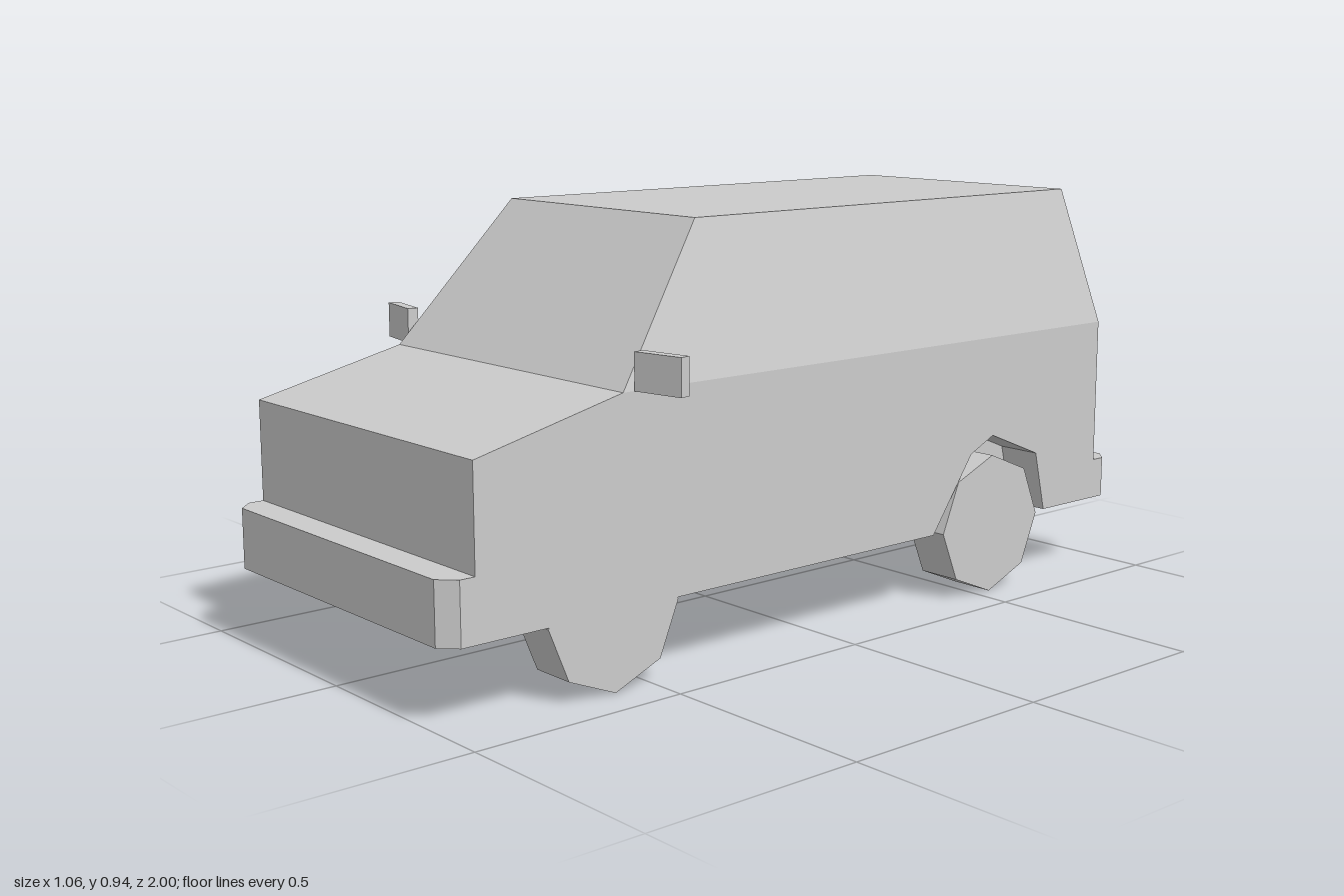
import * as THREE from 'three';

const HALF = 0.41;       // half width of the body
const WHEEL_WIDTH = 0.107;
const grey = new THREE.MeshStandardMaterial({ color: 0xcccccc, flatShading: true });

function add(parent, name, geometry, x = 0, y = 0, z = 0) {
  const mesh = new THREE.Mesh(geometry, grey);
  mesh.name = name;
  mesh.position.set(x, y, z);
  parent.add(mesh);
  return mesh;
}

const shapeOf = (points) => new THREE.Shape(points.map(([a, b]) => new THREE.Vector2(a, b)));

// Side profile of [z, y] points, extruded across x and centred
function acrossWidth(points, width) {
  return new THREE.ExtrudeGeometry(shapeOf(points), { depth: width, bevelEnabled: false })
    .rotateY(-Math.PI / 2)
    .translate(width / 2, 0, 0);
}

// Bumper bar with chamfered outer corners; dir is 1 for front, -1 for rear
function bumper(height, dir) {
  const plan = [[-HALF, 0.92], [HALF, 0.92], [HALF, 0.965], [0.375, 1], [-0.375, 1], [-HALF, 0.965]];
  return new THREE.ExtrudeGeometry(shapeOf(plan.map(([x, z]) => [x, z * dir])), { depth: height, bevelEnabled: false })
    .rotateX(Math.PI / 2);
}

// Tapered cabin: a box whose top corners are drawn inwards
function cabinGeometry() {
  const geometry = new THREE.BoxGeometry(1, 1, 1);
  const p = geometry.attributes.position;
  for (let i = 0; i < p.count; i++) {
    const top = p.getY(i) > 0, front = p.getZ(i) > 0;
    const z = front ? (top ? 0.31 : 0.57) : (top ? -0.875 : -0.93);
    p.setXYZ(i, Math.sign(p.getX(i)) * (top ? 0.325 : HALF), top ? 0.94 : 0.615, z);
  }
  geometry.computeVertexNormals();
  return geometry;
}

export function createModel() {
  const van = new THREE.Group();
  van.name = 'van';

  // Lower body: a core between the wheels and outer panels with rear wheel arches
  const profile = [[0.93, 0.17], [0.93, 0.53], [0.57, 0.615], [-0.93, 0.615], [-0.93, 0.17]];
  const rearArch = [[-0.74, 0.17], [-0.705, 0.315], [-0.545, 0.38], [-0.47, 0.345], [-0.345, 0.17]];
  add(van, 'bodyCore', acrossWidth(profile, 2 * (HALF - WHEEL_WIDTH)));
  const panel = acrossWidth([...profile, ...rearArch], WHEEL_WIDTH);

  add(van, 'cabin', cabinGeometry());
  add(van, 'frontBumper', bumper(0.135, 1), 0, 0.305);
  add(van, 'rearBumper', bumper(0.097, -1), 0, 0.267);

  const wheel = new THREE.CylinderGeometry(0.166, 0.166, WHEEL_WIDTH, 8).rotateZ(Math.PI / 2);
  const mirror = new THREE.BoxGeometry(0.12, 0.08, 0.025);

  // Mirrored side parts
  for (const [side, s] of [['left', 1], ['right', -1]]) {
    const x = s * (HALF - WHEEL_WIDTH / 2);
    add(van, side + 'BodyPanel', panel, x);
    add(van, side + 'FrontWheel', wheel, x, 0.166, 0.595);
    add(van, side + 'RearWheel', wheel, x, 0.166, -0.545);
    add(van, side + 'Mirror', mirror, s * 0.469, 0.655, 0.52).rotation.y = s * 0.19;
  }
  return van;
}
